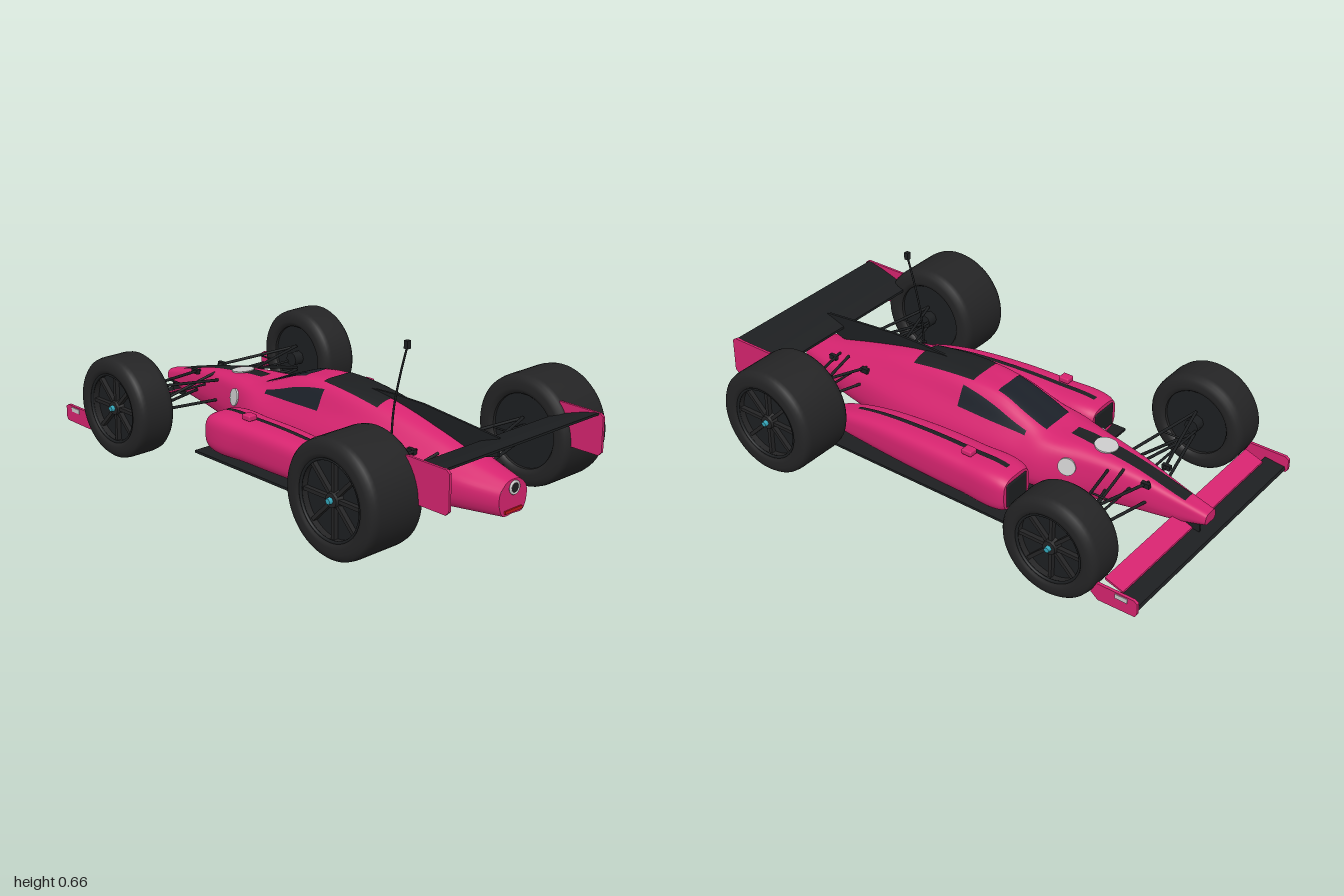
import * as THREE from 'three';
import { ParametricGeometry } from 'three/addons/geometries/ParametricGeometry.js';
import { RoundedBoxGeometry } from 'three/addons/geometries/RoundedBoxGeometry.js';

const mat = (color, side = THREE.FrontSide) => new THREE.MeshStandardMaterial({ color, side });
const PINK = mat(0xd6246f), DARK = mat(0x1d1f21), TYRE = mat(0x242425), GLASS = mat(0x1b2028),
  WHITE = mat(0xd8d8d8), CYAN = mat(0x35a9bd), RED = mat(0xc01818);
const V = (x, y, z) => new THREE.Vector3(x, y, z);

function add(parent, name, geo, material, x = 0, y = 0, z = 0) {
  const m = new THREE.Mesh(geo, material);
  m.name = name;
  m.position.set(x, y, z);
  parent.add(m);
  return m;
}

// Straight bar between two points
function rod(parent, name, a, b, r, material = DARK) {
  const m = add(parent, name, new THREE.CylinderGeometry(r, r, a.distanceTo(b), 8), material);
  m.position.copy(a).lerp(b, 0.5);
  m.quaternion.setFromUnitVectors(V(0, 1, 0), b.clone().sub(a).normalize());
}

// Side outline given as [z, y], extruded across x
function sideProfile(pts, width) {
  const shape = new THREE.Shape(pts.map(([z, y]) => new THREE.Vector2(z, y)));
  return new THREE.ExtrudeGeometry(shape, { depth: width, bevelEnabled: false })
    .translate(0, 0, -width / 2).rotateY(-Math.PI / 2);
}

// Smooth values along z through station rows [z, ...values]
function along(rows) {
  const c = new THREE.CubicInterpolant(rows.map(r => r[0]), rows.flatMap(r => r.slice(1)), rows[0].length - 1);
  return z => Array.from(c.evaluate(z));
}

function normalAt(f, z, t) {
  const e = 1e-3, p = f(z, t);
  return f(z + e, t).sub(p).cross(f(z, t + e).sub(p)).normalize();
}

// Piece of a surface f(z, t); each end is [z, tStart, tEnd], lifted by off
function patch(f, a, b, off, nu, nv) {
  const { lerp } = THREE.MathUtils;
  return new ParametricGeometry((u, v, out) => {
    const z = lerp(a[0], b[0], u), t = lerp(lerp(a[1], b[1], u), lerp(a[2], b[2], u), v);
    out.copy(f(z, t));
    if (off) out.addScaledVector(normalAt(f, z, t), off);
  }, nu, nv);
}

// Flat end of a lofted surface
function endCap(f, z, period, dir) {
  const pts = Array.from({ length: 48 }, (_, i) => f(z, i / 48 * period));
  const cx = (Math.max(...pts.map(p => p.x)) + Math.min(...pts.map(p => p.x))) / 2;
  const g = new THREE.ShapeGeometry(new THREE.Shape(pts.map(p => new THREE.Vector2(p.x - cx, p.y))));
  if (dir < 0) g.rotateY(Math.PI);
  return g.translate(cx, 0, z);
}

// Body stations: z, top y, then x,y of four side points going down, then bottom half width and y
const bodyAt = along([
  [-0.965, .175, .02, .174, .03, .168, .035, .155, .035, .14, .025, .13],
  [-0.87, .195, .03, .194, .04, .185, .045, .16, .045, .13, .035, .11],
  [-0.65, .25, .045, .248, .065, .235, .078, .19, .078, .13, .06, .09],
  [-0.45, .275, .07, .272, .10, .25, .115, .2, .118, .12, .10, .08],
  [-0.3, .287, .082, .284, .128, .262, .16, .2, .165, .11, .14, .075],
  [-0.2, .325, .085, .317, .13, .268, .17, .2, .175, .11, .15, .07],
  [-0.08, .366, .08, .358, .135, .275, .175, .2, .18, .11, .155, .07],
  [0.1, .38, .085, .368, .135, .285, .18, .2, .185, .11, .16, .07],
  [0.35, .362, .075, .345, .128, .28, .175, .2, .18, .11, .15, .07],
  [0.6, .305, .055, .295, .10, .255, .14, .2, .145, .11, .12, .075],
  [0.77, .258, .045, .25, .08, .225, .115, .19, .115, .12, .09, .085],
  [0.93, .218, .03, .214, .05, .2, .07, .175, .07, .125, .05, .09],
]);
// t runs 0 (top) to 6 (bottom) on the left side, on to 12 round the right
function body(z, t) {
  const [yt, x1, y1, x2, y2, x3, y3, x4, y4, x5, yb] = bodyAt(z);
  const half = [[x1, y1], [x2, y2], [x3, y3], [x4, y4], [x5, yb]];
  const ring = [V(0, yt, z), ...half.map(([x, y]) => V(x, y, z)), V(0, yb, z),
    ...half.reverse().map(([x, y]) => V(-x, y, z))];
  return new THREE.CatmullRomCurve3(ring, true).getPoint((((t % 12) + 12) % 12) / 12);
}

// Sidepod stations: z, centre x, centre y, half width, half height
const podAt = along([[-.31, .285, .15, .078, .068], [-.29, .283, .15, .088, .077], [-.1, .28, .152, .09, .082],
  [.12, .277, .15, .086, .08], [.38, .275, .14, .07, .065], [.54, .278, .127, .052, .04], [.57, .28, .125, .045, .03]]);
const roundPow = v => Math.sign(v) * Math.pow(Math.abs(v), 0.6);
const pod = s => (z, t) => {
  const [cx, cy, w, h] = podAt(z);
  return V(s * cx + w * roundPow(Math.sin(t)), cy + h * roundPow(Math.cos(t)), z);
};

function disc(parent, name, f, z, t, r) {
  const n = normalAt(f, z, t);
  const m = add(parent, name, new THREE.CylinderGeometry(r, r, 0.008, 32), WHITE);
  m.position.copy(f(z, t)).addScaledVector(n, 0.002);
  m.quaternion.setFromUnitVectors(V(0, 1, 0), n);
}

// Wheel with its axle on x and the outer face towards +x
function wheel(R, width) {
  const g = new THREE.Group(), h = width / 2, r = R * 0.67;
  const ax = geo => geo.rotateZ(-Math.PI / 2);
  const half = [[r, h - .012], [r + .008, h - .002], [r + .02, h], [R - .03, h], [R - .012, h - .005], [R - .003, h - .016], [R, h - .035]];
  const loop = [...half.map(([a, b]) => [a, -b]), ...half.slice().reverse(), [r, -h + .012]];
  add(g, 'tyre', ax(new THREE.LatheGeometry(loop.map(p => new THREE.Vector2(...p)), 56)), TYRE);
  add(g, 'rimEdge', new THREE.TorusGeometry(r, .006, 8, 48).rotateY(Math.PI / 2), DARK, h - .012);
  add(g, 'rimBack', ax(new THREE.CylinderGeometry(r, r, .012, 40)), DARK, h - .05);
  add(g, 'innerDisc', ax(new THREE.CylinderGeometry(r, r, .012, 40)), DARK, -h + .03);
  for (let i = 0; i < 8; i++) {
    const a = i * Math.PI / 4;
    const spoke = add(g, 'spoke', new THREE.BoxGeometry(.018, r * .86, .014), TYRE, h - .033, Math.cos(a) * r * .56, Math.sin(a) * r * .56);
    spoke.rotation.x = a;
  }
  add(g, 'hub', ax(new THREE.CylinderGeometry(.026, .034, .03, 24)), TYRE, h - .03);
  add(g, 'wheelNut', ax(new THREE.CylinderGeometry(.011, .013, .02, 6)), CYAN, h - .01);
  return g;
}

export function createModel() {
  const car = new THREE.Group();
  car.name = 'racingCar';

  // Body shell with its windows and dark panels
  add(car, 'body', patch(body, [-.965, 0, 12], [.93, 0, 12], 0, 80, 60), PINK);
  add(car, 'noseTip', endCap(body, -.965, 12, -1), PINK);
  add(car, 'tail', endCap(body, .93, 12, 1), PINK);
  add(car, 'windscreen', patch(body, [-.29, -.85, .85], [-.06, -.8, .8], .003, 16, 12), GLASS);
  add(car, 'engineCoverPanel', patch(body, [.05, -.85, .85], [.34, -1.05, 1.05], .003, 16, 12), DARK);
  add(car, 'noseStripe', patch(body, [-.87, -.8, .8], [-.37, -.32, .32], .003, 24, 6), DARK);
  add(car, 'leftWindow', patch(body, [-.23, 1.65, 1.95], [.08, 1.2, 2.05], .003, 20, 10), GLASS);
  add(car, 'rightWindow', patch(body, [-.23, -1.95, -1.65], [.08, -2.05, -1.2], .003, 20, 10), GLASS);
  disc(car, 'noseDisc', body, -.51, 0, .045);
  disc(car, 'leftDisc', body, -.42, 2.9, .035);
  disc(car, 'rightDisc', body, -.42, -2.9, .035);
  add(car, 'fin', sideProfile([[.17, .36], [.2, .377], [.35, .384], [.5, .383], [.86, .35], [.86, .28], [.75, .25], [.5, .3]], .01), DARK);

  // Tail fittings
  add(car, 'tailRing', new THREE.TorusGeometry(.022, .005, 8, 32), WHITE, 0, .188, .936);
  add(car, 'tailPipe', new THREE.CylinderGeometry(.021, .021, .02, 32).rotateX(Math.PI / 2), DARK, 0, .188, .928);
  add(car, 'tailLight', new THREE.BoxGeometry(.09, .012, .02), RED, 0, .103, .926);

  // Floor
  add(car, 'floor', new THREE.BoxGeometry(.77, .01, .92), DARK, 0, .064, .11);

  // Front and rear wings
  add(car, 'frontWing', sideProfile([[-.99, .072], [-.985, .084], [-.9, .094], [-.9, .084]], 1.04), DARK);
  add(car, 'frontFlap', sideProfile([[-.912, .09], [-.91, .098], [-.835, .125], [-.835, .115]], .96), PINK);
  add(car, 'rearWing', sideProfile([[.775, .307], [.775, .317], [.84, .34], [.91, .362], [.98, .377], [.98, .368], [.91, .345], [.84, .322]], .79), DARK);

  for (const s of [1, -1]) {
    add(car, 'frontEndplate', sideProfile([[-1, .075], [-.992, .062], [-.84, .06], [-.81, .085], [-.805, .13], [-.985, .13], [-1, .12]], .012), PINK, s * .524);
    add(car, 'endplatePatch', new THREE.BoxGeometry(.004, .018, .05), WHITE, s * .531, .115, -.935);
    add(car, 'wingPylon', new THREE.BoxGeometry(.008, .06, .08), DARK, s * .025, .11, -.9);
    add(car, 'rearEndplate', sideProfile([[.8, .23], [.82, .215], [.985, .215], [1, .23], [1, .365], [.985, .376], [.8, .376]], .01), PINK, s * .4);

    // Sidepods
    const f = pod(s), T = Math.PI * 2;
    add(car, 'sidepod', patch(f, [-.31, 0, T], [.57, 0, T], 0, 48, 48), PINK);
    add(car, 'sidepodRear', endCap(f, .57, T, 1), PINK);
    add(car, 'intakeRim', endCap(f, -.31, T, -1), PINK);
    add(car, 'intake', new RoundedBoxGeometry(.125, .105, .02, 4, .01), DARK, s * .285, .15, -.305);
    add(car, 'sidepodStripe', patch(f, [-.27, -.03, .03], [.46, -.03, .03], .003, 24, 4), DARK);

    // Mirrors
    add(car, 'mirror', new RoundedBoxGeometry(.04, .022, .045, 3, .005), PINK, s * .31, .25, -.11);
    rod(car, 'mirrorStalk', V(s * .31, .22, -.11), V(s * .31, .245, -.11), .005);

    // Wheels and suspension for each axle: z, wheel x, radius, width, inner x, lower and upper heights
    for (const [end, z, wx, R, w, ix, yl, yu] of [['front', -.645, .483, .202, .165, .07, .15, .23], ['rear', .645, .492, .218, .246, .125, .19, .25]]) {
      const g = wheel(R, w);
      g.name = end + 'Wheel';
      g.position.set(s * wx, R + .003, z);
      if (s < 0) g.rotation.y = Math.PI;
      car.add(g);
      const ox = wx - w / 2 + .01;
      for (const dz of [-.085, .08]) {
        rod(car, end + 'LowerArm', V(s * ix * .85, yl, z + dz), V(s * ox, yl, z), .006);
        rod(car, end + 'UpperArm', V(s * ix * .7, yu, z + dz), V(s * ox, yu + .025, z), .006);
        add(car, end + 'ArmMount', new THREE.BoxGeometry(.016, .02, .035), DARK, s * ix, yu, z + dz);
      }
      rod(car, end + 'Pushrod', V(s * ix * .8, yu + .015, z + .02), V(s * ox, yl + .01, z), .006);
      rod(car, end + 'TrackRod', V(s * ix * .7, (yl + yu) / 2, z - .02), V(s * ox, (yl + yu) / 2, z - .02), .005);
      rod(car, end + 'ArmBrace', V(s * (ix + ox) / 2, yu + .012, z - .04), V(s * (ix + ox) / 2, yu + .012, z + .04), .004);
      rod(car, end + 'Axle', V(s * (ox - .03), R, z), V(s * (ox + .05), R, z), .03);
    }
  }

  // Aerial
  const whip = new THREE.CatmullRomCurve3([V(-.145, .25, .475), V(-.147, .4, .49), V(-.148, .53, .52), V(-.148, .645, .553)]);
  add(car, 'aerial', new THREE.TubeGeometry(whip, 20, .004, 8), DARK);
  add(car, 'aerialTip', new THREE.BoxGeometry(.018, .03, .018), DARK, -.148, .65, .553);
  rod(car, 'aerialBase', V(-.145, .26, .475), V(-.08, .25, .475), .008);
  add(car, 'aerialMount', new THREE.CylinderGeometry(.011, .011, .04, 12), DARK, -.145, .265, .475);

  return car;
}
